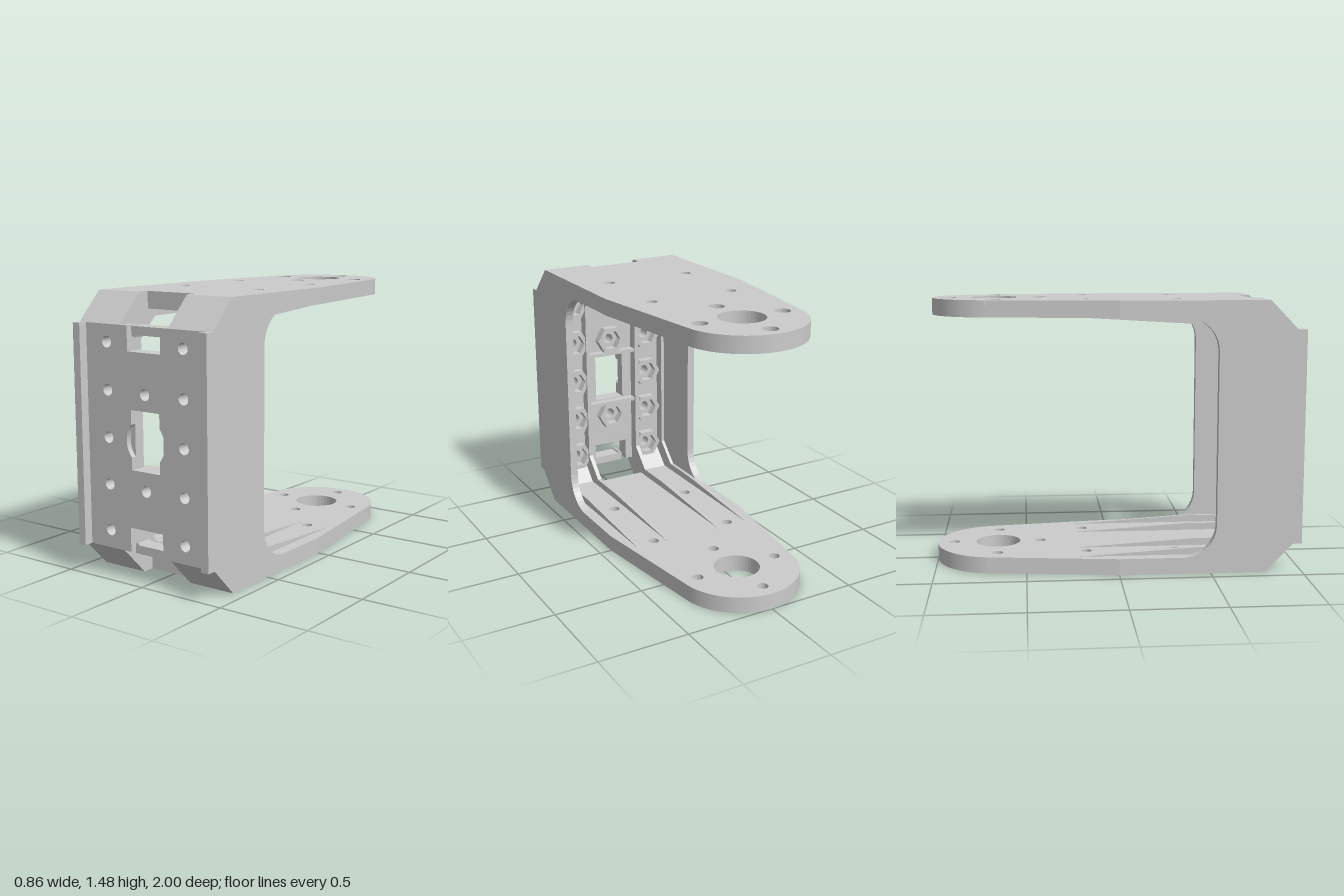
import * as THREE from 'three';

const H = 1.48; // overall height, used to mirror parts from bottom to top
const V = (a, b) => new THREE.Vector2(a, b);
const toShape = (pts) => new THREE.Shape(pts.map(([a, b]) => V(a, b)));

// Regular polygon hole: many sides for round holes, six for nut pockets
function ring(x, y, r, sides = 28) {
  const pts = [];
  for (let i = 0; i < sides; i++) {
    const a = (i / sides) * Math.PI * 2;
    pts.push(V(x + r * Math.cos(a), y + r * Math.sin(a)));
  }
  return pts;
}

export function createModel() {
  const group = new THREE.Group();
  const material = new THREE.MeshStandardMaterial({ color: 0xcccccc });

  function add(name, geometry) {
    const mesh = new THREE.Mesh(geometry, material);
    mesh.name = name;
    group.add(mesh);
  }
  const extrude = (shape, depth) =>
    new THREE.ExtrudeGeometry(shape, { depth, bevelEnabled: false, curveSegments: 28 });

  // Profile given as (z, y), extruded from x0 to x1
  function sidePart(name, pts, x0, x1) {
    const g = extrude(toShape(pts), x1 - x0);
    g.rotateY(-Math.PI / 2).translate(x1, 0, 0);
    add(name, g);
  }
  // Outline given as (x, z), spanning y0 to y1
  function flatPart(name, shape, y0, y1) {
    const g = extrude(shape, y1 - y0);
    g.rotateX(Math.PI / 2).translate(0, y1, 0);
    add(name, g);
  }
  // Outline given as (x, y), spanning z0 to z1
  function frontPart(name, shape, z0, z1) {
    add(name, extrude(shape, z1 - z0).translate(0, 0, z0));
  }
  const flip = (pts) => pts.map(([z, y]) => [z, H - y]);

  // Horizontal arms: tapered, with a round end and a horn hole pattern
  const horn = [[0, -0.91], [0, -0.42], [0.245, -0.66], [-0.245, -0.66]];
  const bolts = [[0.245, -0.17], [-0.245, -0.17], [0.245, 0.32], [-0.245, 0.32]];
  function armShape(hornRadius) {
    const s = new THREE.Shape();
    s.moveTo(-0.155, 0.8);
    s.lineTo(-0.43, 0.8);
    s.lineTo(-0.43, 0);
    s.lineTo(-0.337, -0.7);
    s.absarc(0, -0.66, 0.34, Math.PI + 0.12, Math.PI * 2 - 0.12, false);
    s.lineTo(0.43, 0);
    s.lineTo(0.43, 0.8);
    s.lineTo(0.155, 0.8);
    s.lineTo(0.155, 0.735);
    s.lineTo(-0.155, 0.735);
    s.holes.push(new THREE.Path(ring(0, -0.66, 0.125, 40)));
    for (const [x, z] of horn) s.holes.push(new THREE.Path(ring(x, z, hornRadius)));
    for (const [x, z] of bolts) s.holes.push(new THREE.Path(ring(x, z, 0.03)));
    return s;
  }
  flatPart('lowerArmOuter', armShape(0.042), 0, 0.04);
  flatPart('lowerArmInner', armShape(0.03), 0.04, 0.09);
  flatPart('upperArmInner', armShape(0.03), H - 0.09, H - 0.04);
  flatPart('upperArmOuter', armShape(0.042), H - 0.04, H);

  // Side walls: the lower half of the profile is mirrored to the top
  const half = [[1, 0.155], [0.95, 0.155], [0.8, 0], [0.35, 0], [0.35, 0.09]];
  for (let i = 1; i <= 10; i++) {
    const a = (i / 10) * Math.PI / 2;
    half.push([0.35 + 0.18 * Math.sin(a), 0.27 - 0.18 * Math.cos(a)]);
  }
  const wall = [...half, ...flip(half).reverse()];

  // Stiffening ribs running down the plate and tapering out along the arms
  const ribHalf = [[-0.22, 0.08], [-0.22, 0.09], [0.45, 0.13], [0.68, 0.13], [0.8, 0.25]];
  const ribBack = [[0.88, 0.2], [0.75, 0.08]];
  const rib = [...ribHalf, ...flip(ribHalf).reverse(), ...flip(ribBack).reverse(), ...ribBack];

  // Sloped corners joining the arms to the plate
  const corner = [[0.95, 0.155], [0.8, 0], [0.735, 0], [0.735, 0.09],
    [0.76, 0.09], [0.86, 0.19], [0.88, 0.155]];

  for (const s of [-1, 1]) {
    const span = (a, b) => (s > 0 ? [a, b] : [-b, -a]);
    const side = s > 0 ? 'left' : 'right';
    sidePart(side + 'Wall', wall, ...span(0.385, 0.43));
    sidePart(side + 'InnerRib', rib, ...span(0.155, 0.18));
    sidePart(side + 'OuterRib', rib, ...span(0.345, 0.365));
    sidePart(side + 'LowerCorner', corner, ...span(0.155, 0.386));
    sidePart(side + 'UpperCorner', flip(corner), ...span(0.155, 0.386));
  }

  // Mounting plate with hooked slots, centre window and bolt holes
  const holes = [[0, 0.49], [0, 0.985]];
  for (let i = 0; i < 5; i++) {
    for (const x of [-0.247, 0.247]) holes.push([x, 0.25 + i * 0.246]);
  }
  const edge = [[-0.386, 0.155], [-0.11, 0.155], [-0.11, 0.285], [0.105, 0.285],
    [0.105, 0.2], [-0.055, 0.2], [-0.06, 0.212], [-0.078, 0.205], [-0.08, 0.155], [0.386, 0.155]];
  function plateShape(round) {
    const s = toShape([...edge, ...flip(edge).reverse()]);
    const w = new THREE.Path();
    w.moveTo(-0.0925, 0.59);
    w.lineTo(0.0925, 0.59);
    if (round) w.absarc(0, 0.74, 0.125, -0.738, 0.738, false);
    w.lineTo(0.0925, 0.9);
    w.lineTo(-0.0925, 0.9);
    if (round) w.absarc(0, 0.74, 0.125, Math.PI - 0.738, Math.PI + 0.738, false);
    s.holes.push(w);
    for (const [x, y] of holes) s.holes.push(new THREE.Path(ring(x, y, 0.03)));
    return s;
  }
  frontPart('plateFront', plateShape(true), 0.92, 0.95);
  frontPart('plateBack', plateShape(false), 0.86, 0.92);

  // Hexagonal nut pockets behind every bolt hole
  for (const [x, y] of holes) {
    const s = new THREE.Shape(ring(x, y, 0.09, 6));
    s.holes.push(new THREE.Path(ring(x, y, 0.062, 6)));
    frontPart('nutPocket', s, 0.81, 0.86);
  }

  // Cross bars framing the centre window on the inner side
  for (const y of [0.575, 0.9]) {
    add('windowBar', new THREE.BoxGeometry(0.31, 0.02, 0.05).translate(0, y + 0.0, 0.835));
  }
  return group;
}
